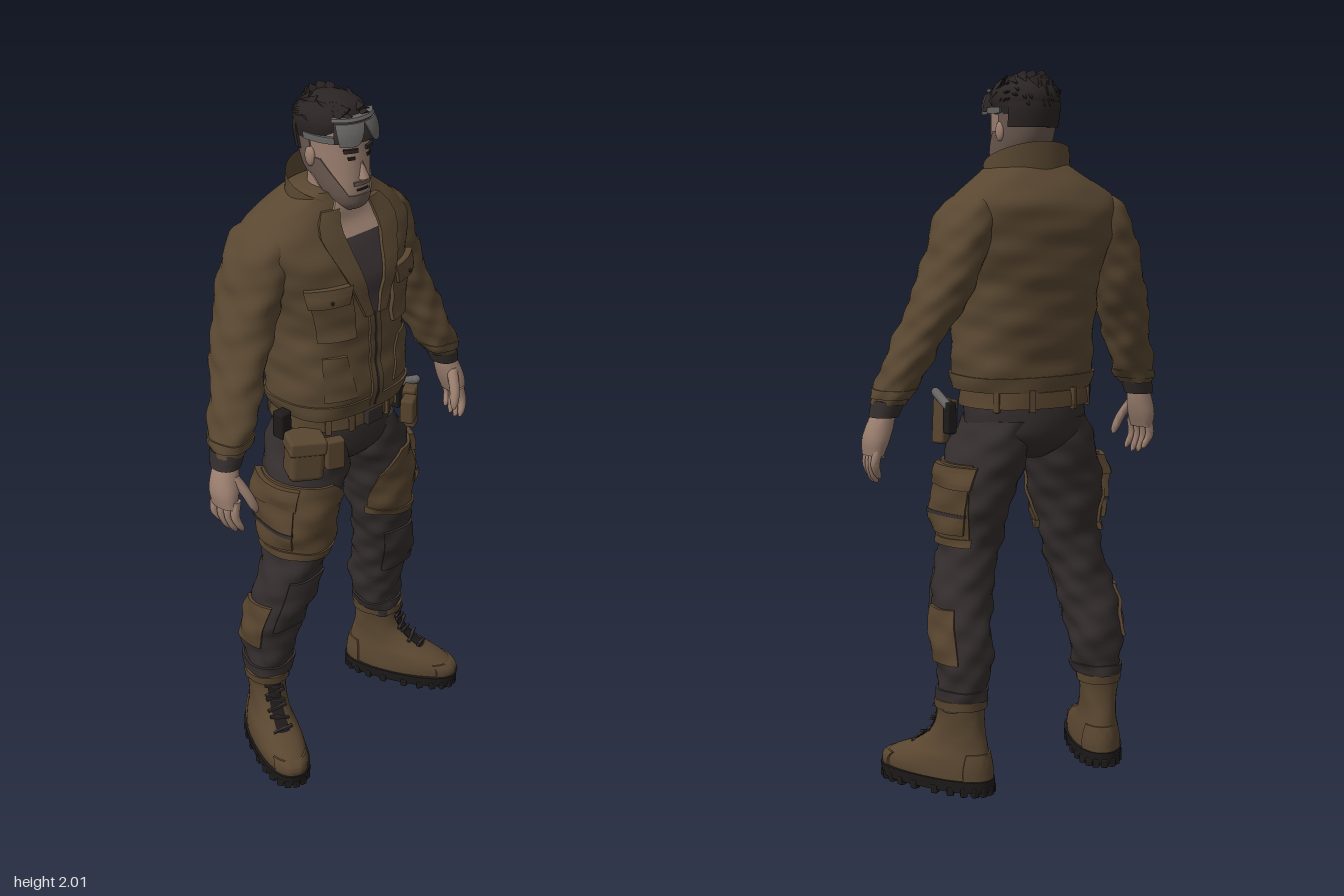
import * as THREE from 'three';
import { mergeGeometries, toCreasedNormals } from 'three/addons/utils/BufferGeometryUtils.js';
import { RoundedBoxGeometry } from 'three/addons/geometries/RoundedBoxGeometry.js';

const paint = (name, color, side = THREE.FrontSide) => {
  const m = new THREE.MeshStandardMaterial({ color, side });
  m.name = name;
  return m;
};

// Grid of points; u runs round to the model's left, v runs up
function grid(fn, nu, nv, closed) {
  const pos = [], idx = [], w = closed ? nu : nu + 1;
  for (let j = 0; j <= nv; j++) for (let i = 0; i < w; i++) pos.push(...fn(i, j));
  for (let j = 0; j < nv; j++) for (let i = 0; i < nu; i++) {
    const a = j * w + i, b = j * w + (i + 1) % w;
    idx.push(a, b, b + w, a, b + w, a + w);
  }
  const g = new THREE.BufferGeometry();
  g.setAttribute('position', new THREE.Float32BufferAttribute(pos, 3));
  g.setIndex(idx);
  g.computeVertexNormals();
  return g;
}

// Cross-sections [y, cx, cz, rx, rz], blended smoothly
function sectionAt(sec, y) {
  let k = 0;
  while (k < sec.length - 2 && y > sec[k + 1][0]) k++;
  const a = sec[k], b = sec[k + 1], p = sec[Math.max(k - 1, 0)], q = sec[Math.min(k + 2, sec.length - 1)];
  const h = b[0] - a[0], t = THREE.MathUtils.clamp((y - a[0]) / h, 0, 1), t2 = t * t, t3 = t2 * t;
  return [1, 2, 3, 4].map(c => {
    const ma = (b[c] - p[c]) / (b[0] - p[0]) * h, mb = (q[c] - a[c]) / (q[0] - a[0]) * h;
    return (2 * t3 - 3 * t2 + 1) * a[c] + (t3 - 2 * t2 + t) * ma + (3 * t2 - 2 * t3) * b[c] + (t3 - t2) * mb;
  });
}
const body = (sec, fold = 0, n = 2.2) => ({ sec: sec.sort((a, b) => a[0] - b[0]), fold, n });
function point(b, y, a, off = 0) {
  const [cx, cz, rx, rz] = sectionAt(b.sec, y), s = Math.sin(a), c = Math.cos(a), e = 2 / b.n;
  const r = off + b.fold * (Math.sin(3 * a + 38 * y) + 0.7 * Math.sin(5 * a - 61 * y) + 0.5 * Math.sin(2 * a + 97 * y));
  return [cx + Math.sign(s) * Math.abs(s) ** e * (rx + r), y, cz + Math.sign(c) * Math.abs(c) ** e * (rz + r)];
}
function loft(b, rows = 24, cols = 32) {
  const y0 = b.sec[0][0], y1 = b.sec[b.sec.length - 1][0];
  return toCreasedNormals(grid((i, j) => {
    const y = y0 + (y1 - y0) * THREE.MathUtils.clamp((j - 1) / rows, 0, 1);
    if (j > 0 && j < rows + 2) return point(b, y, i / cols * Math.PI * 2);
    const [cx, cz] = sectionAt(b.sec, y);
    return [cx, y, cz];
  }, cols, rows + 2, true), 0.9);
}
// Raised panel following a body; a0 and a1 may vary with height t
function panel(b, a0, a1, y0, y1, off = 0.01, nu = 14, nv = 10) {
  const at = (f, t) => typeof f === 'function' ? f(t) : f;
  return toCreasedNormals(grid((i, j) => {
    const edge = i === 0 || j === 0 || i === nu + 2 || j === nv + 2;
    const u = THREE.MathUtils.clamp((i - 1) / nu, 0, 1), t = THREE.MathUtils.clamp((j - 1) / nv, 0, 1);
    return point(b, y0 + (y1 - y0) * t, THREE.MathUtils.lerp(at(a0, t), at(a1, t), u), edge ? -0.008 : off);
  }, nu + 2, nv + 2, false), 0.7);
}
const place = (g, x, y, z, rx = 0, ry = 0, rz = 0) =>
  g.applyMatrix4(new THREE.Matrix4().makeRotationFromEuler(new THREE.Euler(rx, ry, rz)).setPosition(x, y, z));
const box = (w, h, d, ...p) => place(new RoundedBoxGeometry(w, h, d, 2, Math.min(w, h, d) * 0.2), ...p);
function mirrored(g) {
  const m = g.clone().scale(-1, 1, 1);
  const idx = m.index ? Array.from(m.index.array) : Array.from({ length: m.attributes.position.count }, (_, i) => i);
  return m.setIndex(idx.reverse());
}

export function createModel() {
  const root = new THREE.Group();
  const jacket = paint('jacket brown', 0x594731, THREE.DoubleSide), trousers = paint('charcoal cloth', 0x342d2d);
  const gear = paint('gear brown', 0x57442e), boot = paint('boot leather', 0x594630), black = paint('black rubber', 0x1e1a1a);
  const skin = paint('skin', 0x9c8070), hair = paint('dark hair', 0x2b2424), beard = paint('stubble', 0x6b5a51);
  const shirt = paint('shirt', 0x3c3335), grey = paint('goggle grey', 0x666463);
  const add = (name, g, m) => {
    const o = new THREE.Mesh(g, m);
    o.name = name;
    root.add(o);
  };
  const pair = (name, g, m) => {
    add(name + 'Left', g, m);
    add(name + 'Right', mirrored(g), m);
  };

  // Jacket body with sloping shoulders
  const torso = body([[1.13, 0, 0, .19, .148], [1.17, 0, 0, .2, .155], [1.22, 0, 0, .2, .158], [1.3, 0, -.01, .198, .16],
    [1.42, 0, -.02, .203, .165], [1.52, 0, -.03, .232, .165], [1.6, 0, -.042, .255, .155], [1.65, 0, -.053, .25, .137],
    [1.69, 0, -.05, .205, .115], [1.73, 0, -.038, .14, .093], [1.75, 0, -.03, .11, .08]], .0024, 2.6);
  add('jacketBody', loft(torso, 48, 56), jacket);
  add('jacketHem', panel(torso, -Math.PI, Math.PI, 1.13, 1.172, .006, 56, 4), jacket);
  add('shirtFront', panel(torso, t => -.02 - .15 * t, t => .02 + .15 * t, 1.42, 1.65, .005), shirt);
  add('throat', panel(torso, -.3, .3, 1.635, 1.735, .008), skin);
  add('placket', panel(torso, -.05, .05, 1.14, 1.42, .007, 4, 16), jacket);
  add('zip', panel(torso, -.005, .005, 1.14, 1.42, .009, 2, 16), trousers);
  pair('lapel', panel(torso, t => .02 + .18 * t, t => .11 + .42 * t, 1.42, 1.71, .014), jacket);
  pair('chestPocket', panel(torso, .25, .9, 1.37, 1.5, .01), jacket);
  pair('chestPocketFlap', panel(torso, t => .31 - .08 * t, .93, 1.475, 1.525, .017), jacket);
  pair('waistPocket', panel(torso, t => .25 + .15 * t, .83, 1.19, 1.32, .005), jacket);
  pair('pocketSnap', place(new THREE.SphereGeometry(.005, 8, 6), ...point(torso, 1.49, .55, .018)), black);

  // Standing collar, high at the nape and open at the throat
  add('collar', grid((i, j) => {
    const a = (i / 32 - .5) * 4.8, t = j / 5, c = Math.cos(a);
    const rx = THREE.MathUtils.lerp(.135, .13, t), rz = THREE.MathUtils.lerp(.1, .092, t);
    return [-rx * Math.sin(a), THREE.MathUtils.lerp(1.675 + .015 * c, 1.768 + .045 * c, t), -.025 - rz * c];
  }, 32, 5, false), jacket);

  // Sleeves, cuffs and hands
  const sleeve = body([[1.675, .19, -.06, .03, .05], [1.655, .205, -.06, .056, .08], [1.62, .222, -.06, .066, .098],
    [1.58, .236, -.06, .072, .104], [1.5, .26, -.06, .074, .1], [1.4, .298, -.05, .073, .091], [1.3, .343, -.025, .063, .08],
    [1.2, .386, .002, .059, .07], [1.14, .41, .014, .053, .06], [1.11, .422, .018, .044, .05]], .0032);
  pair('sleeve', loft(sleeve, 44, 32), jacket);
  pair('sleeveBand', panel(sleeve, -Math.PI, Math.PI, 1.125, 1.15, .004, 28, 3), jacket);
  pair('cuff', loft(body([[1.12, .422, .018, .044, .05], [1.075, .436, .022, .039, .043]]), 4, 24), trousers);
  pair('palm', loft(body([[1.09, .434, .022, .03, .032], [1.05, .445, .028, .036, .04], [1.01, .455, .034, .034, .046],
    [.97, .461, .04, .023, .043]]), 10, 20), skin);
  const fingers = [0, 1, 2, 3].map(i => {
    const z = .007 + i * .023, x = .462 - .004 * i, tip = [.905, .892, .89, .9][i];
    return loft(body([[tip, x - .008, z + .012, .005, .005], [tip + .012, x - .003, z + .011, .01, .01],
      [.945, x + .008, z + .004, .013, .012], [.99, x, z, .014, .012]]), 8, 10);
  });
  fingers.push(loft(body([[.945, .4, .098, .005, .006], [.96, .404, .096, .012, .012], [1, .417, .084, .015, .015],
    [1.055, .438, .05, .016, .018]]), 8, 10));
  pair('fingers', mergeGeometries(fingers), skin);

  // Trousers
  const hips = body([[1.15, 0, -.01, .17, .138], [1.05, 0, -.012, .178, .145], [1, 0, -.012, .165, .14],
    [.96, 0, -.01, .1, .11], [.935, 0, -.01, .05, .07]], .001);
  add('hips', loft(hips, 20, 40), trousers);
  const leg = body([[1.05, .085, -.012, .085, .13], [.95, .118, 0, .106, .13], [.88, .142, .003, .103, .122],
    [.8, .159, .008, .095, .115], [.7, .169, .012, .082, .097], [.62, .19, .004, .082, .09], [.55, .208, -.005, .083, .088],
    [.45, .224, -.033, .081, .085], [.38, .226, -.047, .076, .083], [.3, .232, -.05, .064, .072],
    [.24, .24, -.05, .057, .066]], .0036);
  pair('trouserLeg', loft(leg, 60, 32), trousers);
  pair('thighPanel', panel(leg, t => -1.25 + 1.35 * t * t, t => 2.5 - .3 * t, .7, .93, .008, 20, 16), gear);
  pair('thighPocket', panel(leg, 1.0, 2.3, .735, .89, .02), gear);
  pair('thighPocketFlap', panel(leg, .95, 2.35, .865, .925, .023), gear);
  pair('thighPocketStrap', panel(leg, .98, 2.32, .785, .795, .022, 14, 2), trousers);
  pair('thighHemBand', panel(leg, -1.3, 2.55, .7, .722, .013, 20, 3), gear);
  pair('kneePad', panel(leg, -.75, .8, .45, .62, .007), trousers);
  pair('shinPocket', panel(leg, 1.15, 2.35, .38, .53, .009), gear);
  pair('trouserGather', panel(leg, -Math.PI, Math.PI, .27, .3, .007, 28, 4), trousers);

  // Belt and hip gear
  add('belt', panel(hips, -Math.PI, Math.PI, 1.085, 1.13, .012, 48, 3), gear);
  add('buckle', box(.06, .045, .02, 0, 1.108, .148), trousers);
  for (const a of [.35, .75, 2.2, 2.8]) pair('beltLoop', box(.018, .062, .014, ...point(hips, 1.107, a, .012), 0, a, 0), gear);
  add('largePouch', box(.1, .12, .09, -.205, 1.03, .085, 0, -.5, -.06), gear);
  add('largePouchFlap', box(.106, .045, .096, -.204, 1.075, .086, 0, -.5, -.06), jacket);
  add('frontPouch', box(.055, .09, .035, -.14, 1.035, .135, 0, -.4, 0), gear);
  add('radio', box(.04, .08, .04, -.225, 1.115, .02), black);
  add('sheath', box(.045, .13, .04, .205, 1.035, .1, 0, .5, .08), gear);
  add('smallPouch', box(.05, .075, .04, .165, 1.05, .13, 0, .5, 0), gear);
  add('toolHandle', place(new THREE.CapsuleGeometry(.013, .07, 4, 10), .22, 1.1, .075, 1.1, .5, 0), grey);
  add('beltTool', box(.03, .09, .03, .215, 1.05, .04), black);

  // Boots, turned outward
  const turn = g => place(g, .24, 0, -.05, 0, .43, 0);
  const shoe = body([[.03, 0, .08, .069, .176], [.07, 0, .081, .07, .176], [.1, 0, .062, .065, .153], [.13, 0, .03, .056, .114],
    [.17, 0, .008, .052, .084], [.22, 0, 0, .055, .07], [.27, 0, 0, .06, .072]], .0006);
  const sole = body([[.012, 0, .08, .072, .182], [.045, 0, .082, .076, .186]], 0, 2.4);
  pair('bootUpper', turn(loft(shoe, 28, 32)), boot);
  pair('bootCollar', turn(panel(shoe, -Math.PI, Math.PI, .245, .27, .006, 28, 4)), boot);
  pair('toeCap', turn(panel(shoe, -.75, .75, .045, .085, .005)), boot);
  pair('heelGuard', turn(panel(shoe, 2.3, 3.98, .045, .12, .005)), boot);
  pair('bootTongue', turn(panel(shoe, -.3, .3, .125, .25, .004)), black);
  pair('sole', turn(loft(sole, 3, 36)), black);
  const lugs = [], laces = [];
  for (let i = 0; i < 22; i++) {
    const a = i / 22 * Math.PI * 2, p = point(sole, .012, a, -.008);
    lugs.push(box(.02, .026, .022, p[0], .013, p[2], 0, a, 0));
  }
  for (let i = 0; i < 6; i++) {
    const y = .13 + i * .021;
    laces.push(box(.06, .008, .01, ...point(shoe, y, 0, .003), 0, 0, i % 2 ? .25 : -.25));
  }
  pair('soleLugs', turn(mergeGeometries(lugs)), black);
  pair('laces', turn(mergeGeometries(laces)), trousers);

  // Head and face
  const head = body([[1.7, 0, .055, .03, .028], [1.715, 0, .05, .047, .047], [1.75, 0, .034, .063, .067], [1.8, 0, .008, .073, .092],
    [1.86, 0, -.005, .079, .1], [1.92, 0, -.012, .08, .1], [1.965, 0, -.015, .06, .08]]);
  add('neck', loft(body([[1.58, 0, -.035, .07, .07], [1.68, 0, -.02, .06, .064], [1.79, 0, -.012, .058, .066]]), 8, 24), skin);
  add('head', loft(head, 28, 36), skin);
  add('beard', panel(head, t => -.95 - .65 * t, t => .95 + .65 * t, 1.702, 1.745, .004, 20, 6), beard);
  pair('sideburn', panel(head, t => .65 + .7 * t, 1.75, 1.745, 1.84, .004), beard);
  add('moustache', panel(head, -.38, .38, 1.772, 1.782, .006, 8, 2), beard);
  add('mouth', panel(head, -.26, .26, 1.757, 1.762, .004, 6, 2), hair);
  add('nose', place(new THREE.ConeGeometry(.016, .055, 8), 0, 1.815, .1, -.2, 0, 0), skin);
  pair('eye', panel(head, .25, .5, 1.842, 1.85, .003, 4, 2), black);
  pair('brow', panel(head, .16, .62, 1.862, 1.872, .008, 6, 2), hair);
  pair('ear', place(new THREE.SphereGeometry(.025, 12, 10).scale(.4, 1.1, .7), .08, 1.84, -.012), skin);

  // Hair with swept tufts and short sides
  const crop = body([[1.885, 0, -.02, .084, .094], [1.93, 0, -.018, .09, .101], [1.96, 0, -.016, .08, .092],
    [1.983, 0, -.012, .055, .068], [1.996, 0, -.01, .02, .028]]);
  add('hairCap', loft(crop, 16, 32), hair);
  add('shortBackHair', panel(head, Math.PI - 1.55, Math.PI + 1.55, 1.79, 1.89, .004, 20, 8), beard);
  add('backHair', panel(head, Math.PI - 1.15, Math.PI + 1.15, 1.85, 1.92, .01, 20, 8), hair);
  let seed = 7;
  const rnd = () => (seed = (seed * 16807) % 2147483647) / 2147483647;
  const tufts = [];
  for (let i = 0; i < 64; i++) {
    const y = 1.915 + .065 * rnd(), a = rnd() * Math.PI * 2, c = Math.cos(a);
    if (c > .3 && y < 1.955) continue;
    tufts.push(place(new THREE.ConeGeometry(.018, .05, 5), ...point(crop, y, a, -.008), -1 + 1.4 * Math.min(c, 0), 0, -.4 * Math.sin(a)));
  }
  add('hairTufts', mergeGeometries(tufts), hair);

  // Goggles pushed up on the forehead, notched over the nose
  add('goggleStrap', panel(head, -1.7, 1.7, 1.888, 1.905, .01, 30, 3), grey);
  add('goggleFrame', panel(head, -.85, .85, 1.893, 1.953, .022, 20, 6), trousers);
  add('goggleTrim', panel(head, -.9, .9, 1.947, 1.955, .028, 20, 2), grey);
  pair('goggleLens', panel(head, t => .3 - .3 * Math.sqrt(t), t => .72 + .08 * t, 1.886, 1.942, .026, 12, 8), grey);
  return root;
}
